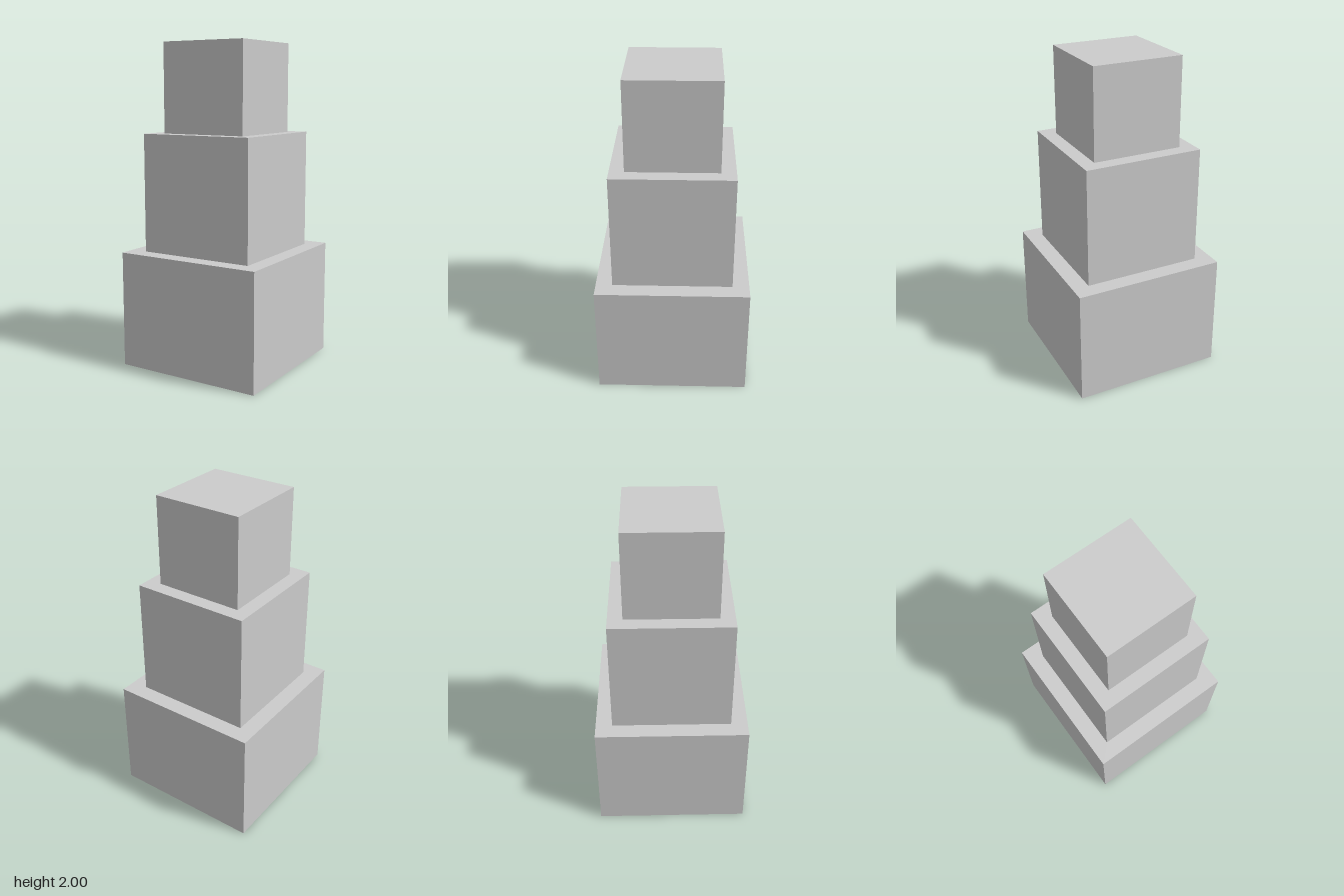
import * as THREE from 'three';

// Stacked square tiers: name, width, bottom and top height
const TIERS = [
  ['baseTier', 0.937, 0, 0.72],
  ['middleTier', 0.733, 0.72, 1.45],
  ['topTier', 0.555, 1.45, 2],
];

export function createModel() {
  const tower = new THREE.Group();
  tower.name = 'steppedTower';
  const material = new THREE.MeshStandardMaterial({ color: 0xcccccc });

  for (const [name, width, bottom, top] of TIERS) {
    const tier = new THREE.Mesh(new THREE.BoxGeometry(width, top - bottom, width), material);
    tier.name = name;
    tier.position.y = (bottom + top) / 2;
    tower.add(tier);
  }
  return tower;
}
